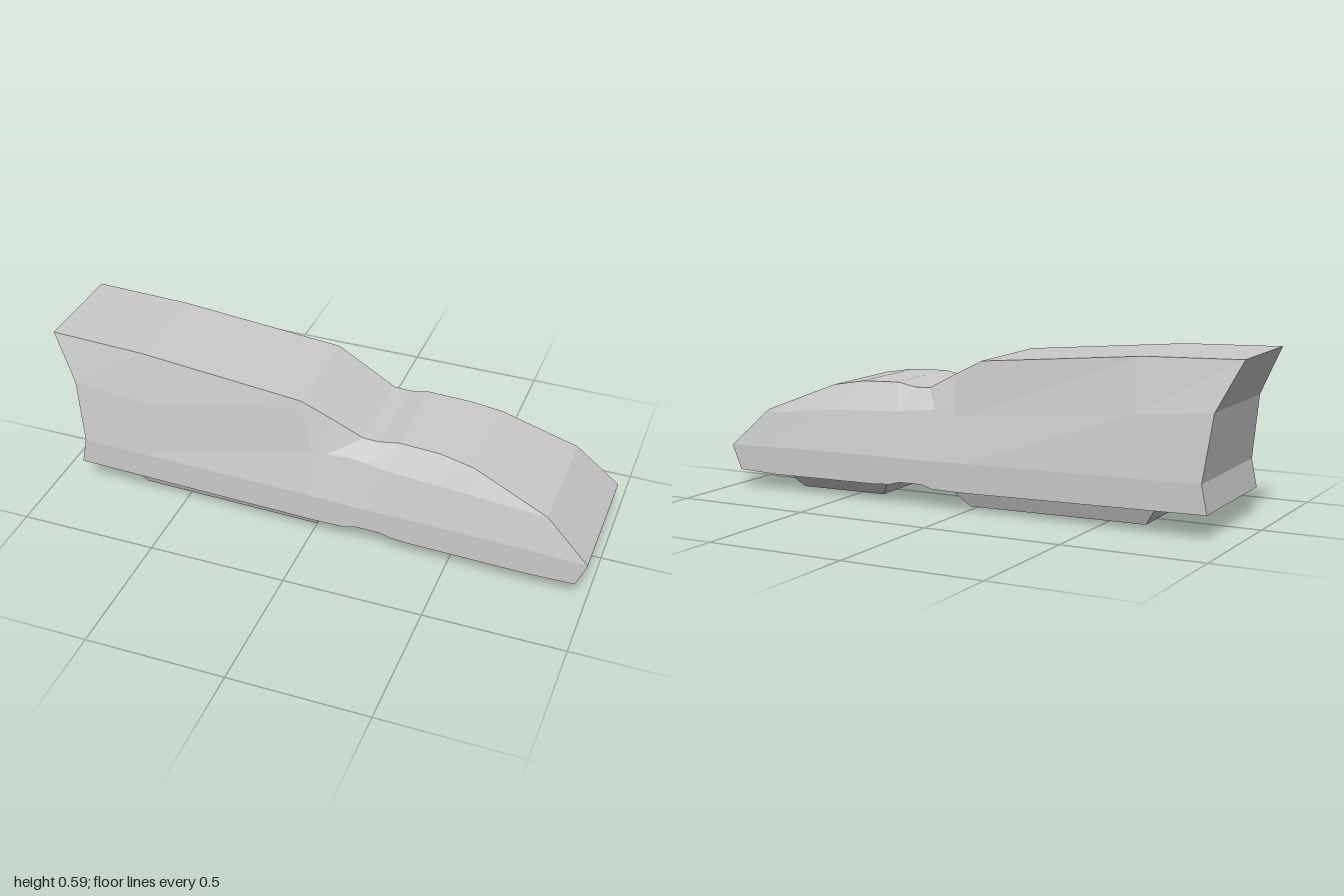
import * as THREE from 'three';

const material = new THREE.MeshStandardMaterial({ color: 0xcccccc, flatShading: true });

// The whole form sits very slightly turned and rolled.
const place = ([x, y, z]) => [x, y + 0.0145 * z, z + 0.0095 * x - 0.0145 * (y - 0.2)];

// Skin a row of closed rings and close both ends with strips of quads.
function loft(name, rings) {
  const pos = [];
  const quad = (a, b, c, d) => [a, b, c, a, c, d].forEach((p) => pos.push(...place(p)));
  const n = rings[0].length;
  for (let i = 0; i < rings.length - 1; i++) {
    for (let j = 0; j < n; j++) {
      const k = (j + 1) % n;
      quad(rings[i][j], rings[i + 1][j], rings[i + 1][k], rings[i][k]);
    }
  }
  const first = rings[0], last = rings[rings.length - 1];
  for (let j = 0; j < n / 2 - 1; j++) {
    quad(first[j], first[j + 1], first[n - 2 - j], first[n - 1 - j]);
    quad(last[n - 1 - j], last[n - 2 - j], last[j + 1], last[j]);
  }
  const geometry = new THREE.BufferGeometry();
  geometry.setAttribute('position', new THREE.Float32BufferAttribute(pos, 3));
  geometry.computeVertexNormals();
  const mesh = new THREE.Mesh(geometry, material);
  mesh.name = name;
  return mesh;
}

// Body cross-section: sill, belt line, shoulder and roof rim, mirrored in z.
function section([sill, belt, shoulder, rim]) {
  const side = [[...sill, 0.24], [...belt, 0.241], shoulder, rim];
  return [...side, ...side.map(([x, y, z]) => [x, y, -z]).reverse()];
}

// Tapered block under the floor, from its bottom face up into the body.
function pod(name, bottom, top) {
  const ring = ([x0, x1, y0, y1, w]) => [[x0, y0, w], [x0, y0, -w], [x1, y1, -w], [x1, y1, w]];
  return loft(name, [ring(bottom), ring(top)]);
}

export function createModel() {
  const group = new THREE.Group();
  group.name = 'vehicle';

  // Sections from the overhanging tail to the nose
  const stations = [
    [[-0.9, 0.09], [-0.88, 0.19], [-0.912, 0.42, 0.219], [-1, 0.592, 0.185]],
    [[-0.65, 0.085], [-0.65, 0.187], [-0.63, 0.395, 0.218], [-0.65, 0.583, 0.187]],
    [[0.01, 0.073], [0, 0.177], [0, 0.338, 0.211], [-0.05, 0.532, 0.19]],
    [[0.06, 0.073], [0.06, 0.176], [0.05, 0.345, 0.208], [0.06, 0.478, 0.179]],
    [[0.13, 0.075], [0.13, 0.175], [0.13, 0.352, 0.205], [0.17, 0.422, 0.17]],
    [[0.17, 0.087], [0.18, 0.174], [0.2, 0.345, 0.208], [0.23, 0.42, 0.169]],
    [[0.26, 0.086], [0.27, 0.173], [0.28, 0.335, 0.211], [0.3, 0.433, 0.168]],
    [[0.3, 0.075], [0.4, 0.172], [0.42, 0.328, 0.212], [0.45, 0.428, 0.171]],
    [[0.36, 0.07], [0.57, 0.17], [0.57, 0.32, 0.214], [0.57, 0.408, 0.18]],
    [[0.8, 0.064], [0.84, 0.166], [0.84, 0.29, 0.219], [0.84, 0.303, 0.216]],
    [[0.96, 0.069], [0.995, 0.159], [0.995, 0.16, 0.241], [0.995, 0.161, 0.241]],
  ];
  group.add(loft('body', stations.map(section)));

  // Blocks below the floor
  group.add(pod('rearPod', [-0.665, 0.0, 0.023, 0.015, 0.185], [-0.715, 0.07, 0.092, 0.08, 0.213]));
  group.add(pod('frontPod', [0.4, 0.75, 0.006, 0.002, 0.125], [0.345, 0.805, 0.075, 0.07, 0.178]));
  return group;
}
